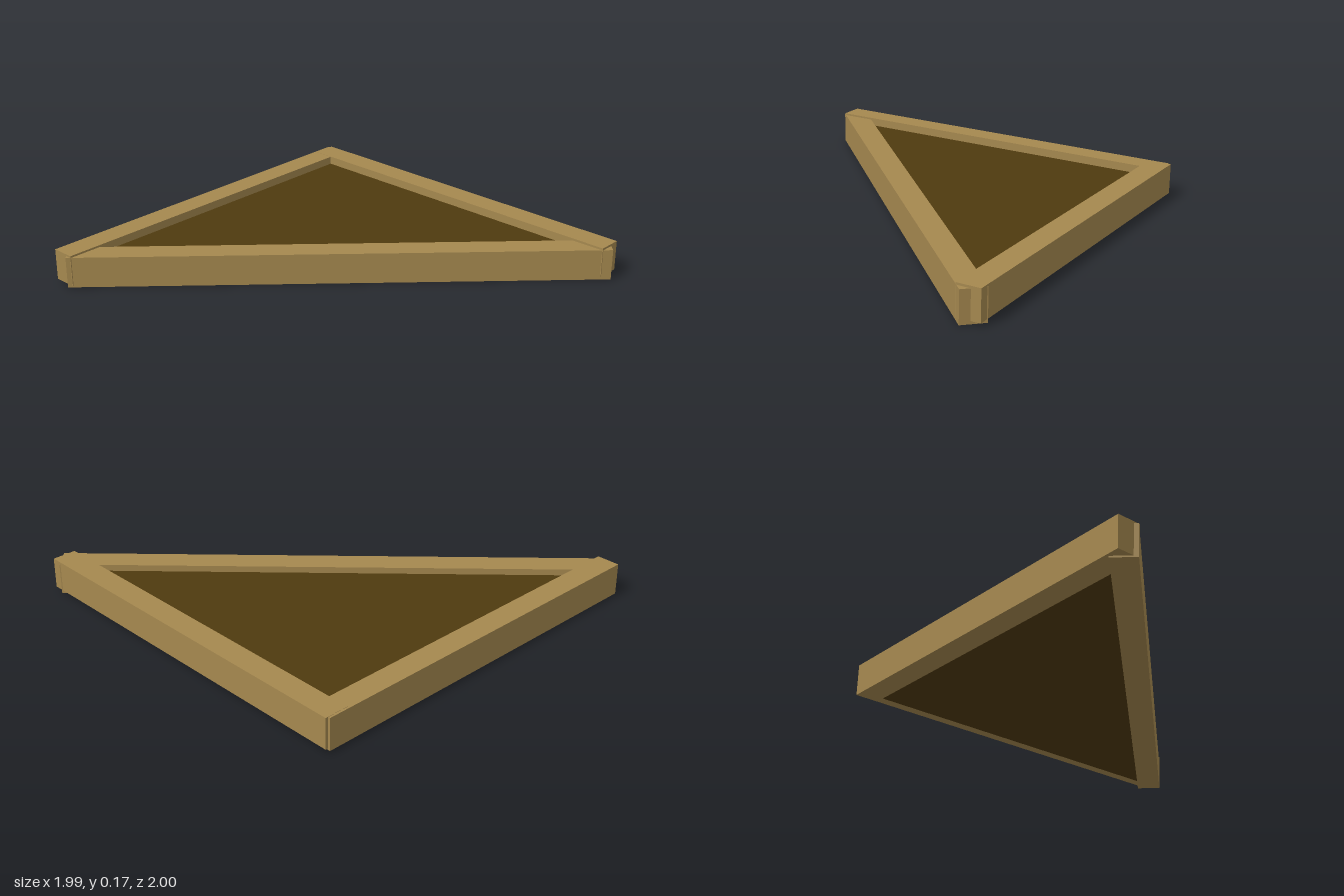
import * as THREE from 'three';

export function createModel() {
  const group = new THREE.Group();
  const wood = new THREE.MeshStandardMaterial({ color: 0xa5884f });
  wood.name = 'light wood';
  const darkWood = new THREE.MeshStandardMaterial({ color: 0x4f3a0f });
  darkWood.name = 'dark wood';

  // A straight beam, given its centre, length along x, height, depth and turn
  function beam(name, x, z, bottom, top, length, depth, turn = 0) {
    const mesh = new THREE.Mesh(new THREE.BoxGeometry(length, top - bottom, depth), wood);
    mesh.name = name;
    mesh.position.set(x, (bottom + top) / 2, z);
    mesh.rotation.y = turn;
    group.add(mesh);
  }

  // Frame: two straight sides and the long diagonal
  beam('backBeam', -0.002, -0.941, 0.008, 0.17, 1.955, 0.121);
  beam('leftBeam', 0.9275, -0.0125, 0.015, 0.171, 1.955, 0.123, Math.PI / 2);
  beam('diagonalBeam', -0.001, 0.006, 0, 0.16, 2.687, 0.124, -Math.PI / 4);

  // Triangular panel, with its edges tucked into the beams
  const outline = new THREE.Shape([
    new THREE.Vector2(0.93, 0.885),
    new THREE.Vector2(-0.855, 0.885),
    new THREE.Vector2(0.93, -0.9),
  ]);
  const panel = new THREE.Mesh(
    new THREE.ExtrudeGeometry(outline, { depth: 0.117, bevelEnabled: false }), darkWood);
  panel.name = 'panel';
  panel.rotation.x = -Math.PI / 2;
  panel.position.y = 0.011;
  group.add(panel);

  return group;
}
